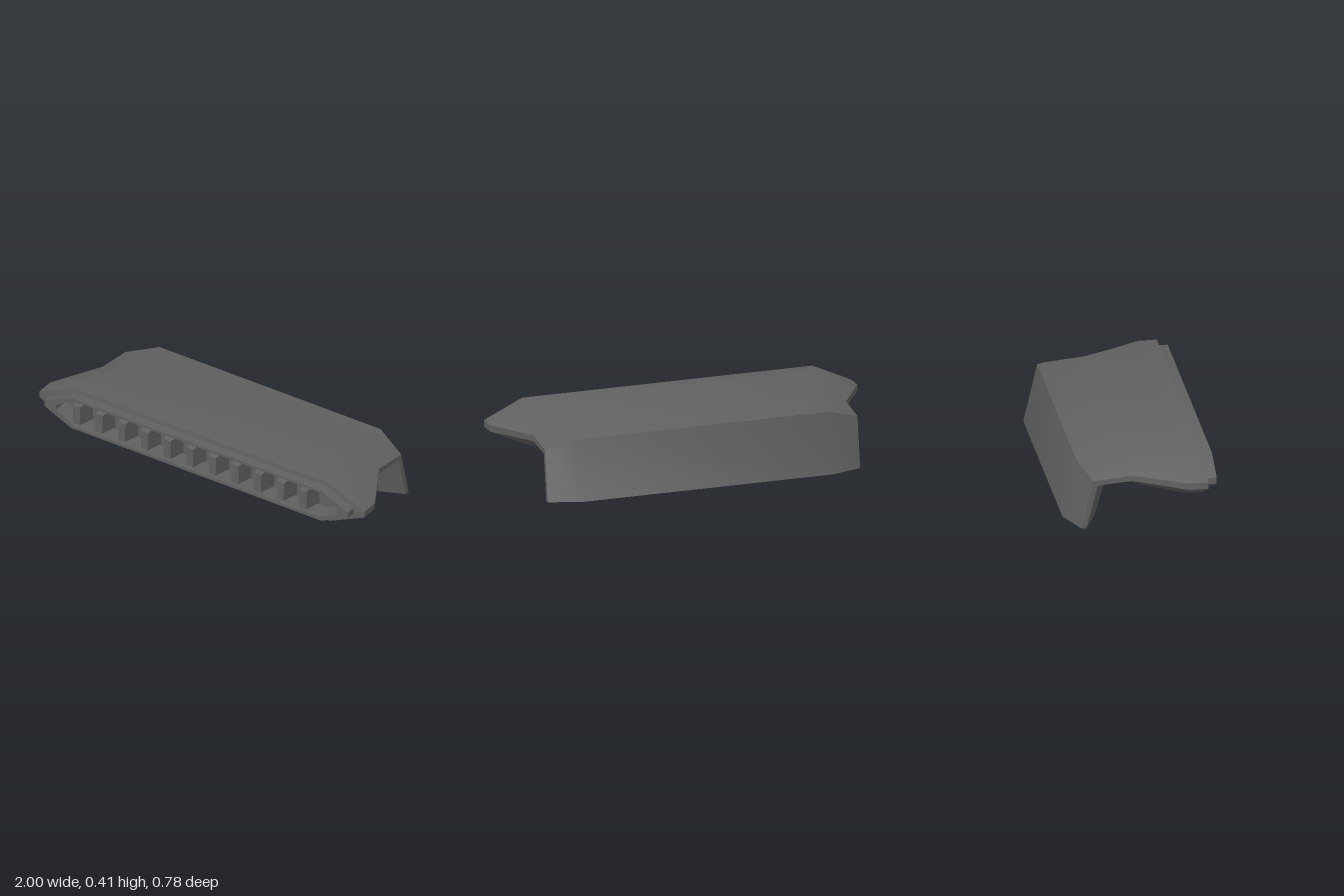
import * as THREE from 'three';
import { toCreasedNormals } from 'three/addons/utils/BufferGeometryUtils.js';

const material = new THREE.MeshStandardMaterial({ color: 0x606060 });

// Long hexagonal ring with blunted side tips. The four [z, y] pairs are
// the top corner, upper tip, lower tip and bottom corner.
function ring(tipX, cornerX, [top, tipTop, tipBottom, bottom], shiftX = 0) {
  const at = (x, [z, y]) => new THREE.Vector3(x + shiftX, y, z);
  return [
    at(cornerX, top), at(-cornerX, top), at(-tipX, tipTop), at(-tipX, tipBottom),
    at(-cornerX, bottom), at(cornerX, bottom), at(tipX, tipBottom), at(tipX, tipTop),
  ];
}

// Ring standing in one upright plane
const flatRing = (z, tipX, cornerX, ys) => ring(tipX, cornerX, ys.map((y) => [z, y]));

// Skin a run of rings, optionally closing the first and last
function loft(name, rings, capStart, capEnd) {
  const p = [];
  const tri = (...pts) => pts.forEach((v) => p.push(v.x, v.y, v.z));
  const n = rings[0].length;
  for (let s = 0; s < rings.length - 1; s++) {
    const a = rings[s], b = rings[s + 1];
    for (let i = 0; i < n; i++) {
      const j = (i + 1) % n;
      tri(a[i], b[i], b[j]);
      tri(a[i], b[j], a[j]);
    }
  }
  const first = rings[0], last = rings[rings.length - 1];
  for (let i = 1; i < n - 1; i++) {
    if (capStart) tri(first[0], first[i], first[i + 1]);
    if (capEnd) tri(last[0], last[i + 1], last[i]);
  }
  const geometry = new THREE.BufferGeometry();
  geometry.setAttribute('position', new THREE.Float32BufferAttribute(p, 3));
  // Shallow folds shade smoothly, steep ones stay sharp
  const mesh = new THREE.Mesh(toCreasedNormals(geometry, 0.55), material);
  mesh.name = name;
  return mesh;
}

export function createModel() {
  const group = new THREE.Group();
  group.name = 'ventDuct';

  const floor = flatRing(0.28, 0.865, 0.75, [0.358, 0.297, 0.264, 0.203]);
  const opening = flatRing(0.383, 0.865, 0.75, [0.358, 0.297, 0.264, 0.203]);
  const collarFront = flatRing(0.383, 0.935, 0.77, [0.372, 0.298, 0.263, 0.187]);
  const collarBase = flatRing(0.333, 0.935, 0.77, [0.372, 0.298, 0.263, 0.187]);
  const hoodFront = flatRing(0.329, 1, 0.79, [0.396, 0.298, 0.263, 0.163]);
  const hoodBack = flatRing(0.23, 1, 0.785, [0.397, 0.298, 0.263, 0.165]);
  const neck = flatRing(-0.045, 0.85, 0.68, [0.371, 0.302, 0.272, 0.201]);
  const bend = ring(0.85, 0.68, [[-0.313, 0.34], [-0.25, 0.28], [-0.225, 0.255], [-0.169, 0.194]], 0.005);
  const foot = ring(0.85, 0.68, [[-0.385, 0.023], [-0.311, 0.018], [-0.285, 0.017], [-0.219, 0.013]], 0.015);

  // Recessed mouth, raised collar, then the hood bending down into the leg
  group.add(loft('mouthRecess', [floor, opening], true, false));
  group.add(loft('collar', [opening, collarFront, collarBase, hoodFront], false, false));
  group.add(loft('ductBody', [hoodFront, hoodBack, neck, bend, foot], false, true));

  // Row of tapered slats across the mouth
  const slat = new THREE.BoxGeometry(0.068, 0.136, 0.11);
  const pos = slat.attributes.position;
  for (let i = 0; i < pos.count; i++) {
    if (pos.getZ(i) > 0) pos.setXY(i, pos.getX(i) * 0.62, pos.getY(i) * 0.8);
  }
  slat.computeVertexNormals();
  for (let i = 0; i < 11; i++) {
    const mesh = new THREE.Mesh(slat, material);
    mesh.name = 'slat';
    mesh.position.set(-0.735 + i * 0.1395, 0.2805, 0.332);
    group.add(mesh);
  }

  // The whole duct sits very slightly askew
  group.rotation.set(0, -0.004, -0.018);
  group.position.x = -0.005;
  return group;
}
